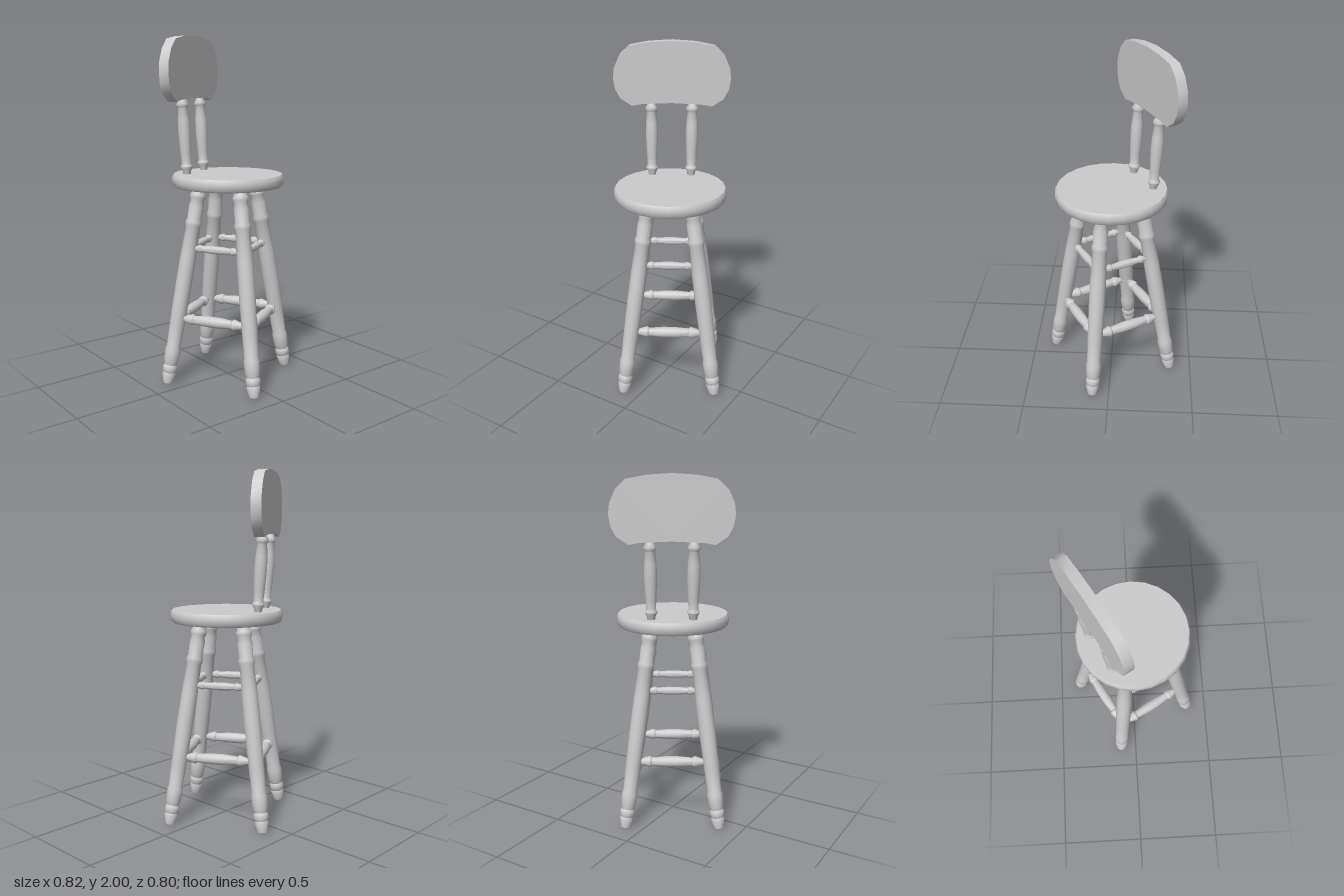
import * as THREE from 'three';
import { toCreasedNormals } from 'three/addons/utils/BufferGeometryUtils.js';

const material = new THREE.MeshStandardMaterial({ color: 0xcccccc });
const V = (x, y, z) => new THREE.Vector3(x, y, z);

// Turned part: profile pairs are [radius, fraction along the length]
function turnedGeometry(profile, length, segments = 16) {
  const points = profile.map(([r, t]) => new THREE.Vector2(r, t * length));
  points.unshift(new THREE.Vector2(0, points[0].y));
  points.push(new THREE.Vector2(0, points[points.length - 1].y));
  return toCreasedNormals(new THREE.LatheGeometry(points, segments), 0.7);
}

// Turned part standing between two points
function turnedBetween(name, profile, from, to) {
  const axis = to.clone().sub(from);
  const mesh = new THREE.Mesh(turnedGeometry(profile, axis.length()), material);
  mesh.name = name;
  mesh.position.copy(from);
  mesh.quaternion.setFromUnitVectors(V(0, 1, 0), axis.normalize());
  return mesh;
}

const legProfile = [
  [0.028, 0], [0.04, 0.045], [0.036, 0.055], [0.042, 0.065], [0.042, 0.085],
  [0.036, 0.095], [0.043, 0.115], [0.045, 0.175], [0.04, 0.19], [0.044, 0.3],
  [0.047, 0.5], [0.046, 0.65], [0.041, 0.79], [0.047, 0.805], [0.047, 0.82],
  [0.041, 0.835], [0.043, 0.9], [0.038, 0.925], [0.045, 0.94], [0.045, 0.955],
  [0.037, 0.965], [0.036, 1],
];

const spindleProfile = [
  [0.02, 0], [0.024, 0.06], [0.035, 0.11], [0.034, 0.125], [0.027, 0.15],
  [0.03, 0.27], [0.036, 0.55], [0.034, 0.7], [0.027, 0.86], [0.036, 0.89],
  [0.036, 0.905], [0.024, 0.95], [0.02, 1],
];

// Half of a stretcher, mirrored about its middle
const stretcherHalf = [[0.012, 0], [0.016, 0.09], [0.032, 0.2], [0.032, 0.215], [0.024, 0.24], [0.031, 0.42]];
function stretcherProfile(scale) {
  const half = stretcherHalf.map(([r, t]) => [r * scale, t]);
  return [...half, ...half.map(([r, t]) => [r, 1 - t]).reverse()];
}

// Distance of a leg axis from the middle, along x and along z, at height y
const legOffset = (y) => 0.27 - 0.127 * y;

function createSeat() {
  const profile = [[0.31, 0], [0.32, 0.15], [0.323, 0.5], [0.322, 0.8], [0.313, 1]];
  const seat = new THREE.Mesh(turnedGeometry(profile, 0.07, 24), material);
  seat.name = 'seat';
  seat.position.y = 1.15;
  return seat;
}

function createBackrest() {
  // Right half of the outline, from top middle to bottom middle
  const half = [
    [0, 2], [0.13, 1.992], [0.24, 1.972], [0.295, 1.92], [0.327, 1.85], [0.334, 1.79],
    [0.324, 1.73], [0.295, 1.675], [0.23, 1.632], [0.17, 1.643], [0, 1.65],
  ];
  const mirrored = half.slice(1, -1).reverse().map(([x, y]) => [-x, y]);
  const outline = [...half, ...mirrored].map(([x, y]) => new THREE.Vector2(x, y));
  const geometry = new THREE.ExtrudeGeometry(new THREE.Shape(outline), { depth: 0.057, bevelEnabled: false });
  const panel = new THREE.Mesh(toCreasedNormals(geometry, 0.6), material);
  panel.name = 'backrestPanel';
  panel.position.z = -0.263;
  return panel;
}

export function createModel() {
  const stool = new THREE.Group();
  stool.name = 'barStool';
  stool.add(createSeat(), createBackrest());

  // Splayed legs
  for (const sx of [-1, 1]) {
    for (const sz of [-1, 1]) {
      const low = legOffset(0), high = legOffset(1.16);
      stool.add(turnedBetween('leg', legProfile, V(sx * low, 0.005, sz * low), V(sx * high, 1.16, sz * high)));
    }
    // Back spindles
    stool.add(turnedBetween('backSpindle', spindleProfile, V(sx * 0.115, 1.21, -0.205), V(sx * 0.118, 1.66, -0.232)));
  }

  // Two rings of four stretchers
  for (const [y, scale] of [[0.39, 1], [0.8, 0.72]]) {
    const s = legOffset(y);
    for (const side of [-1, 1]) {
      stool.add(turnedBetween('crossStretcher', stretcherProfile(scale), V(-s, y, side * s), V(s, y, side * s)));
      stool.add(turnedBetween('sideStretcher', stretcherProfile(scale), V(side * s, y, -s), V(side * s, y, s)));
    }
  }

  // The stool stands turned to one side
  stool.rotation.y = Math.PI / 6;
  const model = new THREE.Group();
  model.name = 'model';
  model.add(stool);
  return model;
}
